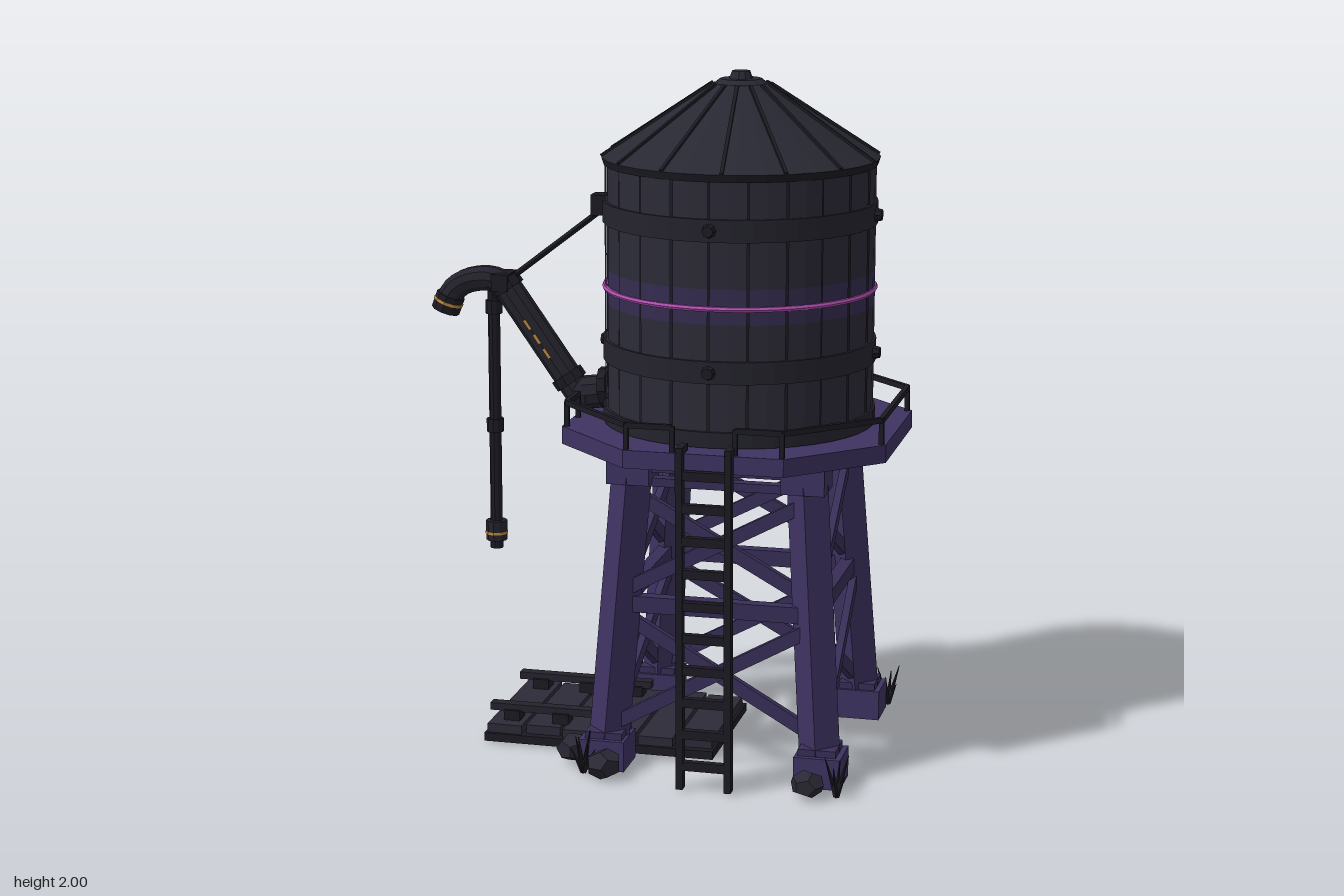
import * as THREE from 'three';

const mat = (name, color, side = THREE.FrontSide) => {
  const m = new THREE.MeshStandardMaterial({ color, flatShading: true, side });
  m.name = name;
  return m;
};

export function createModel() {
  const wood = mat('dark wood', 0x2c2b37, THREE.DoubleSide);
  const roofMat = mat('roof slate', 0x282833);
  const black = mat('blackened iron', 0x1c1b23);
  const iron = mat('iron', 0x24232d);
  const purple = mat('purple timber', 0x3e3361);
  const brace = mat('shaded purple timber', 0x382e57);
  const stripe = mat('purple stripe', 0x352c4f, THREE.DoubleSide);
  const pink = mat('pink glow', 0xb04fae);
  const gold = mat('gold mark', 0xc08a40);
  const stone = mat('stone', 0x2a2834);

  const model = new THREE.Group();
  const tower = new THREE.Group();
  tower.name = 'tower';
  tower.position.x = 0.225;
  model.add(tower);

  const V = (x, y, z) => new THREE.Vector3(x, y, z);
  const put = (parent, name, geo, m, x = 0, y = 0, z = 0) => {
    const mesh = new THREE.Mesh(geo, m);
    mesh.name = name;
    mesh.position.set(x, y, z);
    parent.add(mesh);
    return mesh;
  };
  const box = (p, name, m, w, h, d, x, y, z) => put(p, name, new THREE.BoxGeometry(w, h, d), m, x, y, z);
  const cyl = (p, name, m, rt, rb, y0, y1, n = 28, x = 0, z = 0) =>
    put(p, name, new THREE.CylinderGeometry(rt, rb, y1 - y0, n), m, x, (y0 + y1) / 2, z);
  // square bar between two points
  const beam = (p, name, m, a, b, w, h = w) => {
    const mesh = new THREE.Mesh(new THREE.BoxGeometry(w, h, a.distanceTo(b)), m);
    mesh.name = name;
    mesh.position.copy(a).add(b).multiplyScalar(0.5);
    mesh.lookAt(b);
    p.add(mesh);
    return mesh;
  };
  // round bar between two points
  const rod = (p, name, m, a, b, r, r2 = r, n = 10) => {
    const mesh = put(p, name, new THREE.CylinderGeometry(r2, r, a.distanceTo(b), n), m);
    mesh.position.copy(a).add(b).multiplyScalar(0.5);
    mesh.quaternion.setFromUnitVectors(V(0, 1, 0), b.clone().sub(a).normalize());
    return mesh;
  };

  // tank: dark core seen in the gaps between staves
  cyl(tower, 'tankCore', black, 0.381, 0.381, 0.98, 1.75, 40);
  const staves = 22, step = Math.PI * 2 / staves;
  for (let i = 0; i < staves; i++) {
    const r = 0.387 + (i * 7 % 3) * 0.002;
    [[0.985, 1.335, wood], [1.335, 1.435, stripe], [1.435, 1.745, wood]].forEach(([y0, y1, m]) =>
      put(tower, 'stave', new THREE.CylinderGeometry(r, r, y1 - y0, 2, 1, true, i * step, step * 0.95), m, 0, (y0 + y1) / 2, 0));
  }
  // hoops with bolts
  for (const y of [1.2, 1.6]) {
    cyl(tower, 'hoop', iron, 0.397, 0.397, y - 0.032, y + 0.032, 40);
    for (let i = 0; i < 4; i++) {
      const a = i * Math.PI / 2;
      rod(tower, 'bolt', black, V(Math.cos(a) * 0.39, y, Math.sin(a) * 0.39), V(Math.cos(a) * 0.415, y, Math.sin(a) * 0.415), 0.022, 0.016, 8);
    }
  }
  cyl(tower, 'baseHoop', iron, 0.397, 0.397, 0.985, 1.03, 40);
  const ring = put(tower, 'glowRing', new THREE.TorusGeometry(0.391, 0.008, 6, 48), pink, 0, 1.38, 0);
  ring.rotation.x = Math.PI / 2;

  // roof with ribs and cap
  cyl(tower, 'roofRim', black, 0.402, 0.395, 1.735, 1.757, 32);
  cyl(tower, 'roof', roofMat, 0.08, 0.402, 1.757, 1.965, 32);
  for (let i = 0; i < 14; i++) {
    const a = (i + 0.3) / 14 * Math.PI * 2, c = Math.cos(a), s = Math.sin(a);
    beam(tower, 'roofRib', black, V(c * 0.4, 1.757, s * 0.4), V(c * 0.085, 1.962, s * 0.085), 0.01, 0.014);
  }
  cyl(tower, 'roofCap', roofMat, 0.06, 0.1, 1.945, 1.978, 16);
  cyl(tower, 'roofKnob', roofMat, 0.026, 0.035, 1.975, 2.0, 10);

  // octagonal deck
  const oct = [[0.23, 0.465], [0.475, 0.225], [0.475, -0.225], [0.23, -0.465],
    [-0.23, -0.465], [-0.475, -0.225], [-0.475, 0.225], [-0.23, 0.465]];
  const slab = (name, m, k, y0, y1) => {
    const shape = new THREE.Shape(oct.map(([x, z]) => new THREE.Vector2(x * k, z * k)));
    const geo = new THREE.ExtrudeGeometry(shape, { depth: y1 - y0, bevelEnabled: false });
    geo.rotateX(-Math.PI / 2);
    put(tower, name, geo, m, 0, y0, 0);
  };
  slab('deck', purple, 1, 0.93, 0.982);
  slab('deckUnderside', black, 0.93, 0.922, 0.95);

  // railing, open at the ladder and at the pipe
  const rail = (a, b) => beam(tower, 'rail', black, a, b, 0.014, 0.016);
  const post = (x, z) => box(tower, 'railPost', black, 0.014, 0.08, 0.014, x, 1.015, z);
  oct.forEach(([x, z], i) => {
    const [x2, z2] = oct[(i + 1) % 8], k = 0.97;
    const a = V(x * k, 1.052, z * k), b = V(x2 * k, 1.052, z2 * k);
    post(a.x, a.z);
    if (i === 5 || i === 7) {
      const t = i === 7 ? 0.09 : 0.1;
      const m1 = a.clone().add(b).multiplyScalar(0.5), d = b.clone().sub(a).setLength(t);
      const p = m1.clone().sub(d), q = m1.clone().add(d);
      rail(a, p); rail(q, b);
      post(p.x, p.z); post(q.x, q.z);
    } else rail(a, b);
  });

  // legs, caps and feet
  const off = y => 0.318 - 0.07 * y;
  for (const sx of [-1, 1]) for (const sz of [-1, 1]) {
    const at = y => V(sx * off(y), y, sz * off(y));
    beam(tower, 'leg', purple, at(0.05), at(0.88), 0.085);
    box(tower, 'legCap', purple, 0.125, 0.075, 0.125, sx * 0.255, 0.88, sz * 0.255);
    box(tower, 'foot', purple, 0.135, 0.09, 0.135, sx * 0.318, 0.045, sz * 0.318);
    box(tower, 'footCollar', brace, 0.11, 0.02, 0.11, sx * 0.315, 0.1, sz * 0.315);
  }
  // girders and cross braces on the four sides
  for (let i = 0; i < 4; i++) {
    const side = new THREE.Group();
    side.name = 'braceSide';
    side.rotation.y = i * Math.PI / 2;
    tower.add(side);
    const at = (s, y, o = 0) => V(s * off(y), y, off(y) + o);
    beam(side, 'topGirder', brace, at(-1, 0.895), at(1, 0.895), 0.05, 0.04);
    beam(side, 'lowerGirder', brace, at(-1, 0.845), at(1, 0.845), 0.035, 0.025);
    beam(side, 'middleGirder', brace, at(-1, 0.485), at(1, 0.485), 0.04, 0.048);
    for (const [y0, y1] of [[0.52, 0.81], [0.12, 0.45]]) for (const s of [-1, 1])
      beam(side, 'crossBrace', brace, at(-s, y0, s * 0.012), at(s, y1, s * 0.012), 0.022, 0.04);
  }

  // ladder with hooked top
  for (const s of [-1, 1]) {
    beam(tower, 'ladderRail', black, V(s * 0.07 + 0.01, 0, 0.47), V(s * 0.07 + 0.01, 0.99, 0.487), 0.02, 0.03);
    box(tower, 'ladderHook', black, 0.02, 0.02, 0.07, s * 0.07 + 0.01, 0.995, 0.465);
  }
  for (let i = 0; i < 10; i++) box(tower, 'rung', black, 0.13, 0.026, 0.022, 0.01, 0.07 + i * 0.095, 0.472 + i * 0.0015);

  // spout: elbow, slanted pipe, bent nozzle
  const spout = new THREE.Group();
  spout.name = 'spout';
  model.add(spout);
  const low = V(-0.26, 1.03, 0), high = V(-0.485, 1.35, 0);
  rod(spout, 'pipeOutlet', iron, V(-0.13, 1.05, 0), V(-0.24, 1.035, 0), 0.05);
  rod(spout, 'outletFlange', black, V(-0.165, 1.055, 0), V(-0.19, 1.052, 0), 0.062);
  put(spout, 'elbow', new THREE.SphereGeometry(0.052, 10, 8), iron, -0.245, 1.03, 0);
  rod(spout, 'pipe', iron, low, high, 0.042);
  for (const t of [0.1, 0.95]) {
    const p = low.clone().lerp(high, t), q = low.clone().lerp(high, t + 0.08);
    rod(spout, 'pipeCollar', black, p, q, 0.05);
  }
  const bend = new THREE.CatmullRomCurve3([high, V(-0.53, 1.365, 0), V(-0.6, 1.355, 0), V(-0.645, 1.325, 0), V(-0.665, 1.28, 0)]);
  put(spout, 'nozzle', new THREE.TubeGeometry(bend, 12, 0.038, 10), iron);
  rod(spout, 'nozzleMouth', black, V(-0.655, 1.31, 0), V(-0.673, 1.262, 0), 0.043, 0.043);
  rod(spout, 'nozzleTrim', gold, V(-0.661, 1.294, 0), V(-0.664, 1.286, 0), 0.045);
  // gold dashes along the pipe
  for (const s of [-1, 1]) for (const t of [0.35, 0.48, 0.61])
    beam(spout, 'pipeDash', gold, low.clone().lerp(high, t).setZ(s * 0.041), low.clone().lerp(high, t + 0.08).setZ(s * 0.041), 0.005, 0.008);
  // stay rod
  rod(spout, 'stay', black, V(-0.18, 1.59, 0), V(-0.485, 1.355, 0), 0.01, 0.01, 6);
  box(spout, 'stayBracket', black, 0.05, 0.06, 0.06, -0.19, 1.6, 0);
  box(spout, 'stayClamp', black, 0.05, 0.05, 0.1, -0.49, 1.36, 0);
  // hanging hose
  const hose = [['hose', black, 0.018, 0.62, 1.34], ['hoseJoint', black, 0.026, 0.9, 0.94], ['hoseTop', black, 0.025, 1.26, 1.3],
    ['hoseEnd', iron, 0.032, 0.565, 0.625], ['hoseTrim', gold, 0.034, 0.584, 0.592], ['hoseTip', black, 0.02, 0.54, 0.57]];
  hose.forEach(([n, m, r, y0, y1]) => cyl(spout, n, m, r, r, y0, y1, 10, -0.522, 0));

  // ground platform with planks and two rails
  const pad = new THREE.Group();
  pad.name = 'groundPlatform';
  model.add(pad);
  box(pad, 'padBase', black, 0.7, 0.025, 0.46, -0.15, 0.0125, -0.01);
  for (let i = 0; i < 6; i++)
    box(pad, 'padPlank', wood, 0.105, 0.03, 0.44 - (i % 2) * 0.03, -0.44 + i * 0.116, 0.037, -0.01);
  for (const z of [-0.165, 0.14]) {
    box(pad, 'padRail', iron, 0.42, 0.022, 0.035, -0.29, 0.088, z);
    for (const x of [-0.43, -0.28, -0.13]) box(pad, 'railBlock', black, 0.05, 0.035, 0.055, x, 0.065, z);
  }

  // rocks
  const rocks = [[-0.19, 0.32, 0.055], [-0.07, 0.44, 0.055], [0.53, 0.45, 0.05], [-0.085, -0.45, 0.05],
    [-0.19, -0.32, 0.055], [0.52, -0.45, 0.055], [-0.13, -0.455, 0.03]];
  rocks.forEach(([x, z, r], i) => {
    const rock = put(model, 'rock', new THREE.DodecahedronGeometry(r), stone, x, r * 0.75, z);
    rock.rotation.y = i * 1.3;
    rock.scale.y = 0.8;
  });
  // grass tufts
  for (const [x, z] of [[0.61, -0.42], [0.61, 0.43], [-0.185, -0.39], [-0.14, 0.41]])
    for (let i = 0; i < 6; i++) {
      const a = i * 1.047 + x, h = 0.07 + (i % 3) * 0.025;
      rod(model, 'grassBlade', black, V(x, 0, z), V(x + Math.cos(a) * 0.035, h, z + Math.sin(a) * 0.035), 0.009, 0.001, 4);
    }
  return model;
}
